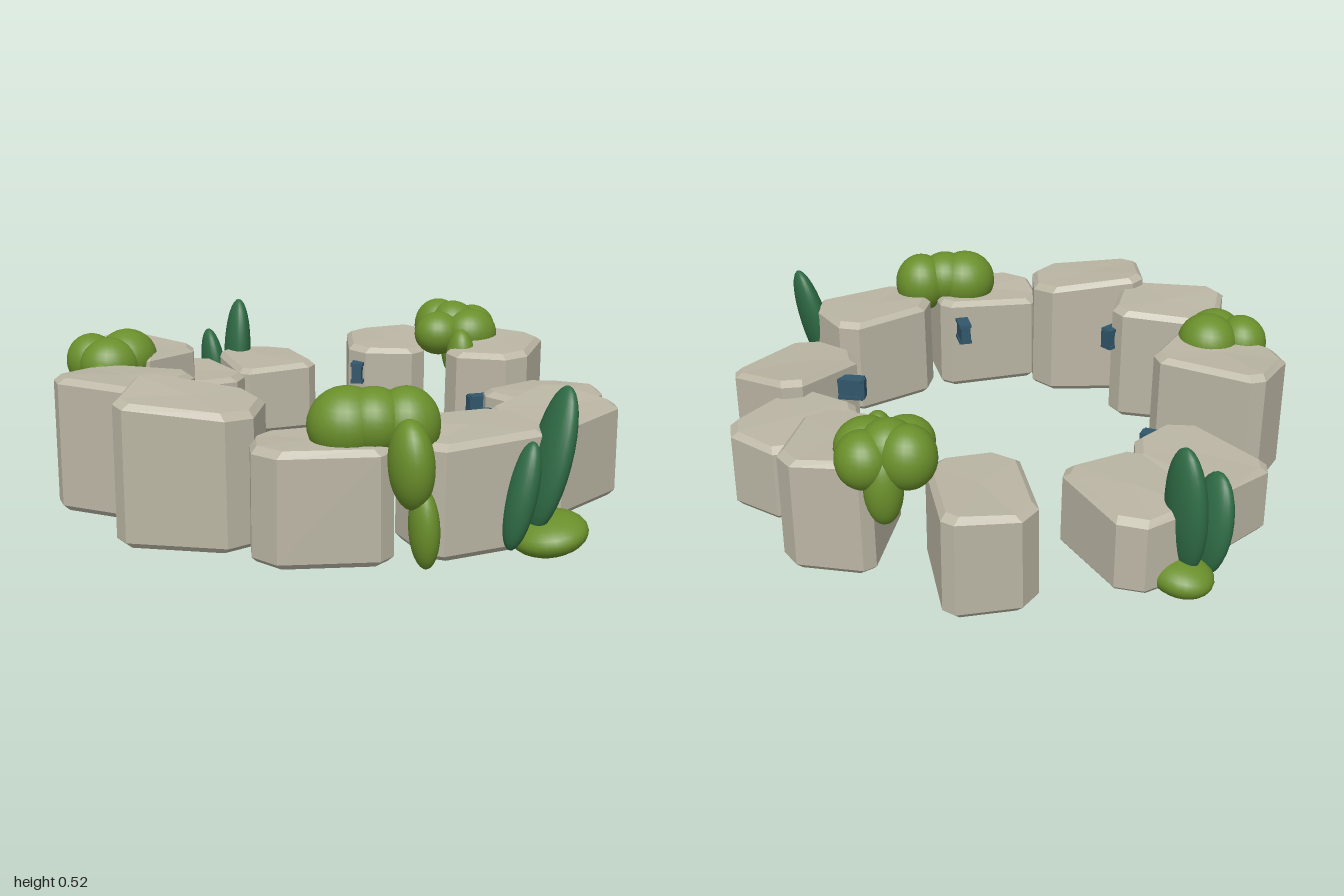
import * as THREE from 'three';

const mat = (name, color, flatShading = false) => {
  const m = new THREE.MeshStandardMaterial({ color, flatShading });
  m.name = name;
  return m;
};

// Stone block: chamfered rectangle lofted through bevelled levels, with a sloping top
function stoneGeometry(w, d, h, angle, slopeX, slopeZ, seed) {
  const base = 0.03, bevel = 0.018;
  const ring = (inset, level) => {
    const a = w / 2 - inset, b = d / 2 - inset, pts = [];
    for (let i = 0; i < 4; i++) {
      const sx = i === 0 || i === 3 ? 1 : -1, sz = i < 2 ? 1 : -1;
      const c = 0.05 + 0.018 * Math.sin(seed * 2.3 + i * 1.9);
      const pair = [[sx * a, sz * (b - c)], [sx * (a - c), sz * b]];
      if (i % 2) pair.reverse();
      for (const [u, v] of pair) {
        const x = u * Math.cos(angle) - v * Math.sin(angle);
        const z = u * Math.sin(angle) + v * Math.cos(angle);
        const bump = 0.008 * Math.sin(seed * 3.1 + i * 2.2);
        pts.push([x, level < 2 ? base + level * bevel
          : h + slopeX * x + slopeZ * z + bump - (level === 2 ? bevel : 0), z]);
      }
    }
    return pts;
  };
  const rings = [ring(0.014, 0), ring(0, 1), ring(0.002, 2), ring(0.02, 3)];
  const pos = [], tri = (a, b, c) => pos.push(...a, ...b, ...c);
  for (let l = 0; l < 3; l++) {
    for (let i = 0; i < 8; i++) {
      const j = (i + 1) % 8, p = rings[l], q = rings[l + 1];
      tri(p[i], q[i], p[j]);
      tri(p[j], q[i], q[j]);
    }
  }
  for (let i = 0; i < 8; i++) {
    const j = (i + 1) % 8;
    tri([0, h, 0], rings[3][j], rings[3][i]);
    tri([0, base, 0], rings[0][i], rings[0][j]);
  }
  const g = new THREE.BufferGeometry();
  g.setAttribute('position', new THREE.Float32BufferAttribute(pos, 3));
  g.computeVertexNormals();
  return g;
}

export function createModel() {
  const model = new THREE.Group();
  model.name = 'stoneRing';
  const stone = mat('stone', 0xbab5a3, true);
  const moss = mat('leafGreen', 0x6a8f2b);
  const dark = mat('darkGreen', 0x2f6c45);
  const metal = mat('blueMetal', 0x31566a, true);

  const add = (parent, name, geometry, material, x, y, z) => {
    const m = new THREE.Mesh(geometry, material);
    m.name = name;
    m.position.set(x, y, z);
    parent.add(m);
    return m;
  };

  // Stones: x, z, width, depth, height, turn in degrees, top slope in x and z
  const stones = [
    [-0.365, -0.61, 0.40, 0.29, 0.27, 75, 0, 0.03],
    [-0.07, -0.703, 0.395, 0.305, 0.285, 87, 0.03, 0],
    [0.385, -0.595, 0.40, 0.29, 0.355, 106, 0, -0.03],
    [0.68, -0.21, 0.38, 0.30, 0.40, 127, 0.05, -0.04],
    [0.712, 0.15, 0.38, 0.30, 0.30, 150, -0.03, 0],
    [0.575, 0.463, 0.40, 0.30, 0.338, 151, 0.04, -0.05],
    [0.187, 0.73, 0.40, 0.30, 0.38, -7, 0, 0],
    [-0.263, 0.707, 0.40, 0.29, 0.37, 12, 0.04, 0],
    [-0.583, 0.468, 0.41, 0.30, 0.46, 26, -0.08, -0.08],
    [-0.728, 0.12, 0.38, 0.31, 0.45, 40, 0, 0.02],
    [-0.638, -0.335, 0.40, 0.30, 0.445, 57, 0, 0],
  ];
  stones.forEach(([x, z, w, d, h, deg, sx, sz], i) =>
    add(model, 'stone' + (i + 1),
      stoneGeometry(w, d, h, THREE.MathUtils.degToRad(deg), sx, sz, i + 1), stone, x, 0, z));

  // Small wall fixtures on the inner faces: x, y, z, turn in degrees, length
  const fixtures = [
    [-0.35, 0.2, -0.39, 50, 0.09],
    [0.225, 0.26, -0.44, 118, 0.07],
    [0.565, 0.22, 0, 0, 0.15],
    [0.435, 0.26, 0.335, 35, 0.10],
    [-0.1, 0.28, 0.55, 104, 0.09],
    [-0.51, 0.33, 0.155, 165, 0.07],
  ];
  fixtures.forEach(([x, y, z, deg, len], i) => {
    const g = new THREE.Group();
    g.name = 'fixture' + (i + 1);
    g.position.set(x, y, z);
    g.rotation.y = -THREE.MathUtils.degToRad(deg);
    add(g, 'fixtureBody', new THREE.BoxGeometry(len, 0.07, 0.036), metal, 0, 0, 0);
    for (const s of [-1, 1]) {
      add(g, 'fixtureRim', new THREE.BoxGeometry(len - 0.012, 0.012, 0.046), metal, 0, s * 0.032, 0);
    }
    model.add(g);
  });

  // Leafy ellipsoids: x, y, z, radii x y z, lean about z, lean about x
  const ball = new THREE.SphereGeometry(1, 24, 16);
  const plant = (name, material, blobs) => {
    const g = new THREE.Group();
    g.name = name;
    for (const [x, y, z, rx, ry, rz, leanZ = 0, leanX = 0] of blobs) {
      const m = add(g, name + 'Clump', ball, material, x, y, z);
      m.scale.set(rx, ry, rz);
      m.rotation.set(leanX, 0, leanZ);
    }
    model.add(g);
  };

  plant('frontBush', moss, [
    [-0.19, 0.41, 0.725, 0.115, 0.11, 0.11],
    [-0.12, 0.42, 0.755, 0.10, 0.10, 0.10],
    [-0.03, 0.41, 0.775, 0.098, 0.11, 0.10],
    [-0.06, 0.33, 0.90, 0.063, 0.13, 0.085, 0.05],
    [-0.027, 0.15, 0.92, 0.042, 0.12, 0.06, 0.05],
  ]);
  plant('sideBush', moss, [
    [-0.785, 0.42, -0.245, 0.085, 0.09, 0.09],
    [-0.67, 0.43, -0.21, 0.10, 0.095, 0.105],
    [-0.735, 0.42, -0.155, 0.10, 0.09, 0.09],
    [-0.77, 0.33, -0.10, 0.065, 0.12, 0.075],
    [-0.755, 0.19, -0.08, 0.045, 0.11, 0.055],
  ]);
  plant('backBush', moss, [
    [0.555, 0.42, -0.46, 0.09, 0.10, 0.09],
    [0.67, 0.41, -0.40, 0.085, 0.09, 0.09],
    [0.515, 0.41, -0.355, 0.09, 0.08, 0.085],
    [0.63, 0.41, -0.325, 0.10, 0.09, 0.09],
    [0.59, 0.43, -0.40, 0.09, 0.09, 0.09],
    [0.63, 0.33, -0.45, 0.06, 0.12, 0.06],
    [0.545, 0.35, -0.21, 0.05, 0.10, 0.06],
  ]);

  // Upright shrubs, each with a low cushion at the foot
  plant('frontShrub', dark, [
    [0.282, 0.20, 0.885, 0.042, 0.163, 0.055, -0.2],
    [0.382, 0.295, 0.86, 0.047, 0.218, 0.09, -0.22],
  ]);
  plant('backShrub', dark, [
    [-0.235, 0.20, -0.88, 0.045, 0.17, 0.088, 0.12],
    [-0.14, 0.27, -0.88, 0.05, 0.212, 0.088, -0.05],
  ]);
  plant('frontCushion', moss, [[0.385, 0.07, 0.86, 0.115, 0.058, 0.12, 0.2]]);
  plant('backCushion', moss, [[-0.13, 0.06, -0.89, 0.095, 0.058, 0.11, 0.1]]);

  return model;
}
